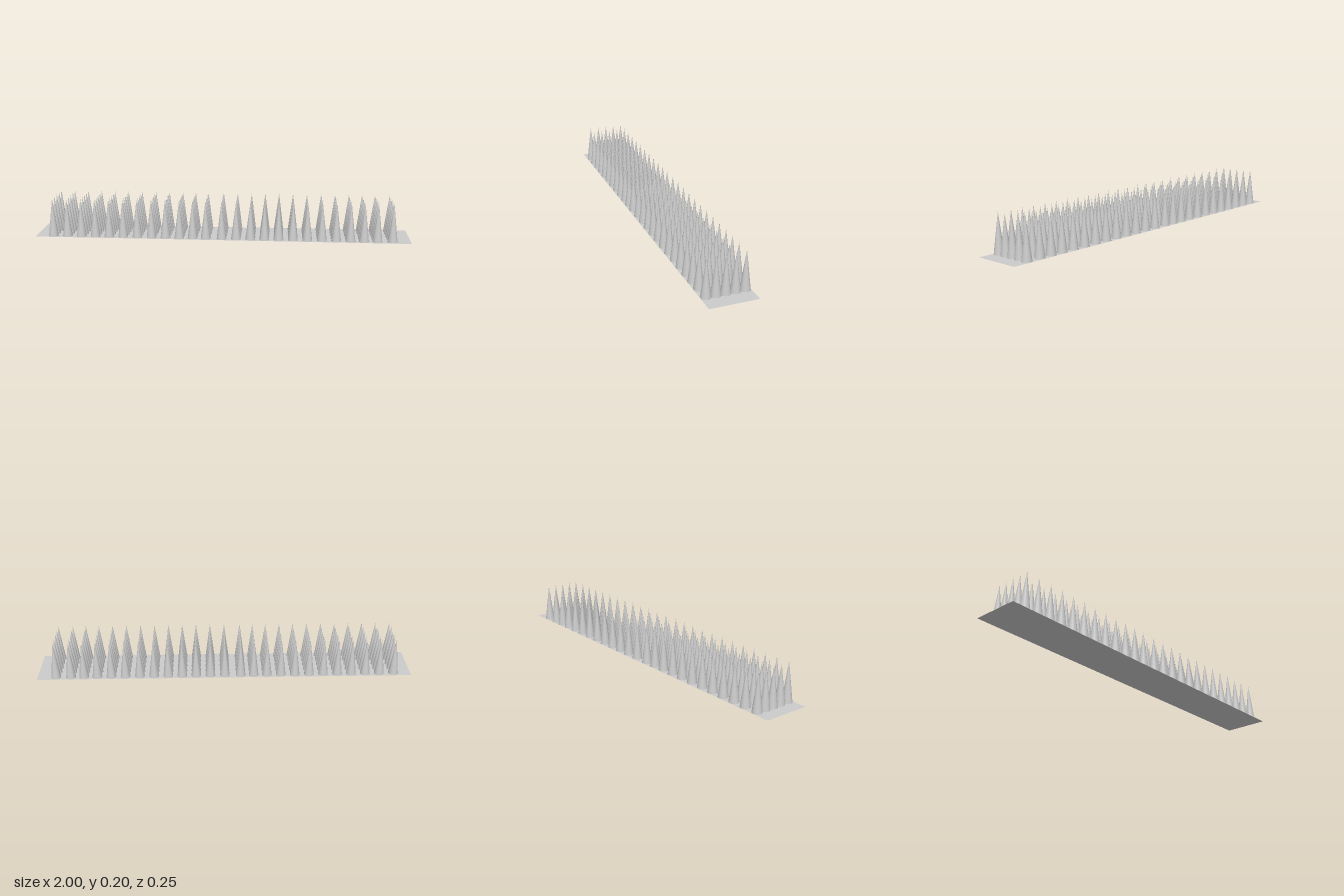
import * as THREE from 'three';

export function createModel() {
  const model = new THREE.Group();
  model.name = 'spikeStrip';
  const material = new THREE.MeshStandardMaterial({ color: 0xcccccc });

  // Flat sheet the spikes stand on
  const sheetMaterial = material.clone();
  sheetMaterial.side = THREE.DoubleSide;
  const sheet = new THREE.Mesh(new THREE.PlaneGeometry(2, 0.25).rotateX(-Math.PI / 2), sheetMaterial);
  sheet.name = 'baseSheet';
  model.add(sheet);

  // One smooth spike, standing on y = 0
  const height = 0.205;
  const spikeGeometry = new THREE.ConeGeometry(0.026, height, 32).translate(0, height / 2, 0);

  // Two runs of twelve slightly uneven columns, closed by a last column
  const run = [0, 0.077, 0.153, 0.228, 0.303, 0.379, 0.455, 0.532, 0.607, 0.682, 0.753, 0.823];
  const columns = [...run.map((x) => x - 0.908), ...run, 0.902];

  columns.forEach((x, i) => {
    const column = new THREE.Group();
    column.name = `spikeColumn${i + 1}`;
    column.position.x = x;
    for (let row = -2; row <= 2; row++) {
      const spike = new THREE.Mesh(spikeGeometry, material);
      spike.name = 'spike';
      spike.position.z = row * 0.049;
      column.add(spike);
    }
    model.add(column);
  });

  return model;
}
